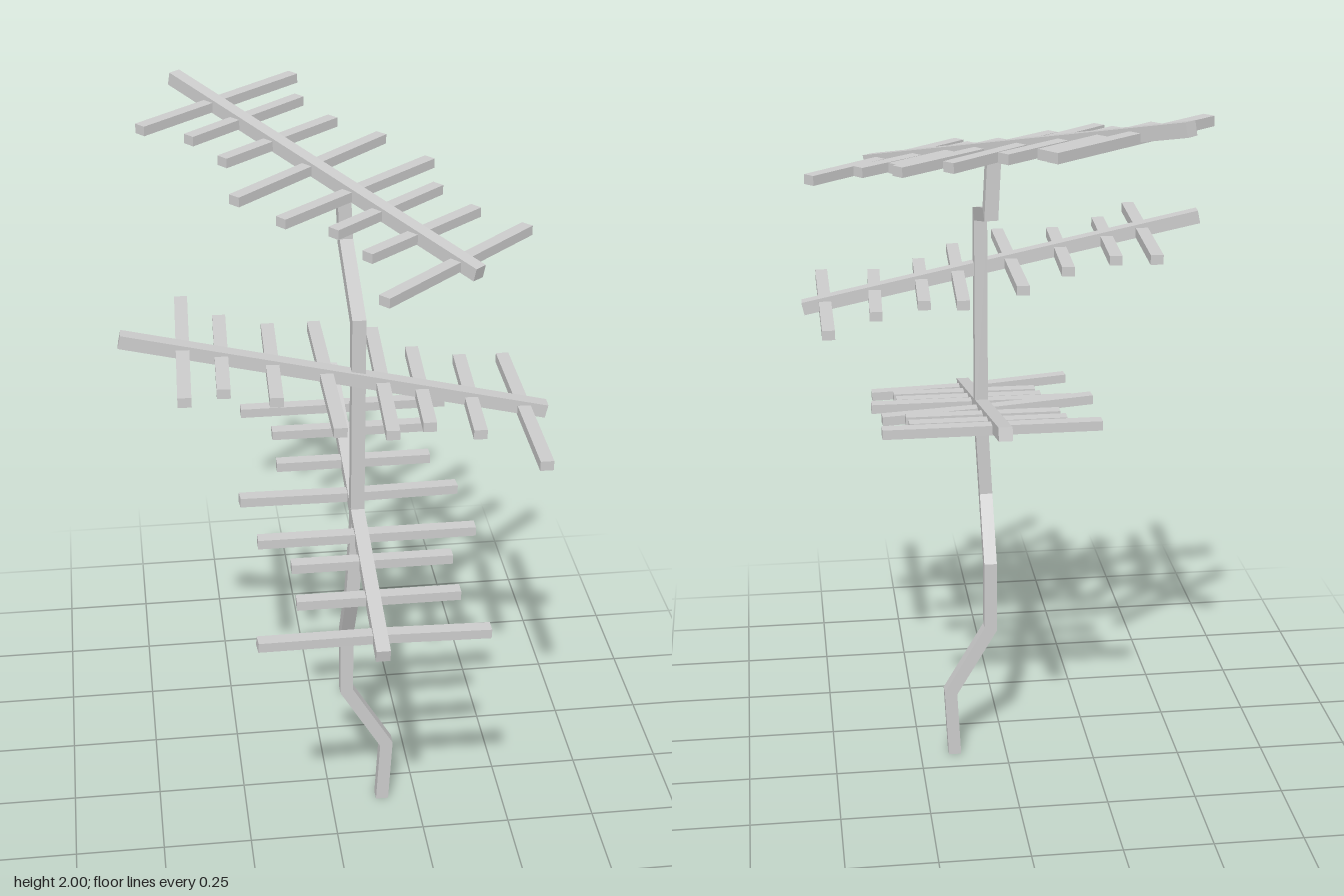
import * as THREE from 'three';

const V = (p) => new THREE.Vector3(...p);
const material = new THREE.MeshStandardMaterial({ color: 0xcccccc, flatShading: true });

// Straight bar between two points, kept level across its width
function bar(name, from, to, width, height) {
  const a = V(from), b = V(to);
  const mesh = new THREE.Mesh(new THREE.BoxGeometry(width, height, a.distanceTo(b)), material);
  mesh.name = name;
  mesh.position.copy(a).add(b).multiplyScalar(0.5);
  mesh.lookAt(b);
  return mesh;
}

// Square tube swept along a crooked path with mitred joints
function mitredTube(path, half) {
  const pts = path.map(V), n = pts.length;
  const dir = (i) => pts[i + 1].clone().sub(pts[i]).normalize();
  let ring = [[-1, 1], [1, 1], [1, -1], [-1, -1]].map(([x, z]) =>
    pts[0].clone().add(new THREE.Vector3(x * half, 0, z * half)));
  const pos = [], index = [];
  ring.forEach((c) => pos.push(...c));
  for (let i = 1; i < n; i++) {
    const d = dir(i - 1);
    const normal = i < n - 1 ? d.clone().add(dir(i)).normalize() : d;
    ring = ring.map((c) => {
      const t = pts[i].clone().sub(c).dot(normal) / d.dot(normal);
      return c.clone().addScaledVector(d, t);
    });
    ring.forEach((c) => pos.push(...c));
    for (let k = 0; k < 4; k++) {
      const a = (i - 1) * 4 + k, b = (i - 1) * 4 + (k + 1) % 4;
      index.push(a, b, b + 4, a, b + 4, a + 4);
    }
  }
  const e = (n - 1) * 4;
  index.push(0, 2, 1, 0, 3, 2, e, e + 1, e + 2, e, e + 2, e + 3);
  const geo = new THREE.BufferGeometry();
  geo.setAttribute('position', new THREE.Float32BufferAttribute(pos, 3));
  geo.setIndex(index);
  const flat = geo.toNonIndexed();
  flat.computeVertexNormals();
  return flat;
}

// Boom with cross rods; each rod is [x1, z1, x2, z2] with an optional bend [x, z] in the middle
function antenna(name, from, to, rods) {
  const group = new THREE.Group();
  group.name = name;
  group.add(bar('boom', from, to, 0.036, 0.036));
  const a = V(from), b = V(to);
  const dx = b.x - a.x, dz = b.z - a.z;
  for (const [x1, z1, x2, z2, bx, bz] of rods) {
    // height of the boom where the rod crosses it
    const mx = bx ?? (x1 + x2) / 2, mz = bz ?? (z1 + z2) / 2;
    const t = ((mx - a.x) * dx + (mz - a.z) * dz) / (dx * dx + dz * dz);
    const y = a.y + (b.y - a.y) * t - 0.006;
    if (bx === undefined) {
      group.add(bar('crossRod', [x1, y, z1], [x2, y, z2], 0.034, 0.026));
    } else {
      group.add(bar('bentRodLeft', [x1, y + 0.016, z1], [bx, y, bz], 0.034, 0.026));
      group.add(bar('bentRodRight', [bx, y, bz], [x2, y - 0.008, z2], 0.034, 0.026));
    }
  }
  return group;
}

export function createModel() {
  const model = new THREE.Group();
  model.name = 'crookedAerial';

  const mast = new THREE.Mesh(mitredTube([
    [0.15, 0, 0.09], [0.16, 0.2, 0.09], [0.043, 0.4, 0.09], [0.043, 0.6, 0.09],
    [0.045, 0.78, 0.18], [0.057, 1.0, 0.18], [0.057, 1.6, 0.18],
    [0.065, 1.68, -0.143], [0.057, 1.84, -0.143],
  ], 0.018), material);
  mast.name = 'mast';
  model.add(mast);

  model.add(antenna('lowerAntenna', [0.057, 0.935, 0.69], [0.057, 1.175, -0.4], [
    [-0.215, -0.245, 0.36, -0.245],
    [-0.137, -0.147, 0.283, -0.147],
    [-0.137, -0.02, 0.283, -0.02],
    [-0.25, 0.132, 0.34, 0.09, 0.057, 0.11],
    [-0.215, 0.265, 0.36, 0.265],
    [-0.137, 0.36, 0.283, 0.36],
    [-0.137, 0.487, 0.283, 0.487],
    [-0.25, 0.64, 0.34, 0.613, 0.057, 0.615],
  ]));

  model.add(antenna('middleAntenna', [-0.543, 1.58, 0.162], [0.543, 1.342, 0.213], [
    [-0.374, -0.128, -0.397, 0.44],
    [-0.28, -0.048, -0.298, 0.367],
    [-0.154, -0.04, -0.169, 0.374],
    [-0.026, -0.1, -0.026, 0.49],
    [0.132, -0.11, 0.107, 0.462],
    [0.228, -0.026, 0.21, 0.393],
    [0.356, -0.02, 0.338, 0.396],
    [0.484, -0.073, 0.482, 0.517],
  ]));

  model.add(antenna('upperAntenna', [-0.35, 1.985, -0.605], [0.352, 1.742, 0.228], [
    [-0.015, -0.683, -0.455, -0.32],
    [-0.011, -0.56, -0.33, -0.29],
    [0.07, -0.462, -0.25, -0.198],
    [0.195, -0.403, -0.235, -0.011],
    [0.31, -0.294, -0.125, 0.066],
    [0.312, -0.165, 0.004, 0.095],
    [0.396, -0.07, 0.077, 0.187],
    [0.52, -0.01, 0.092, 0.378],
  ]));

  return model;
}
